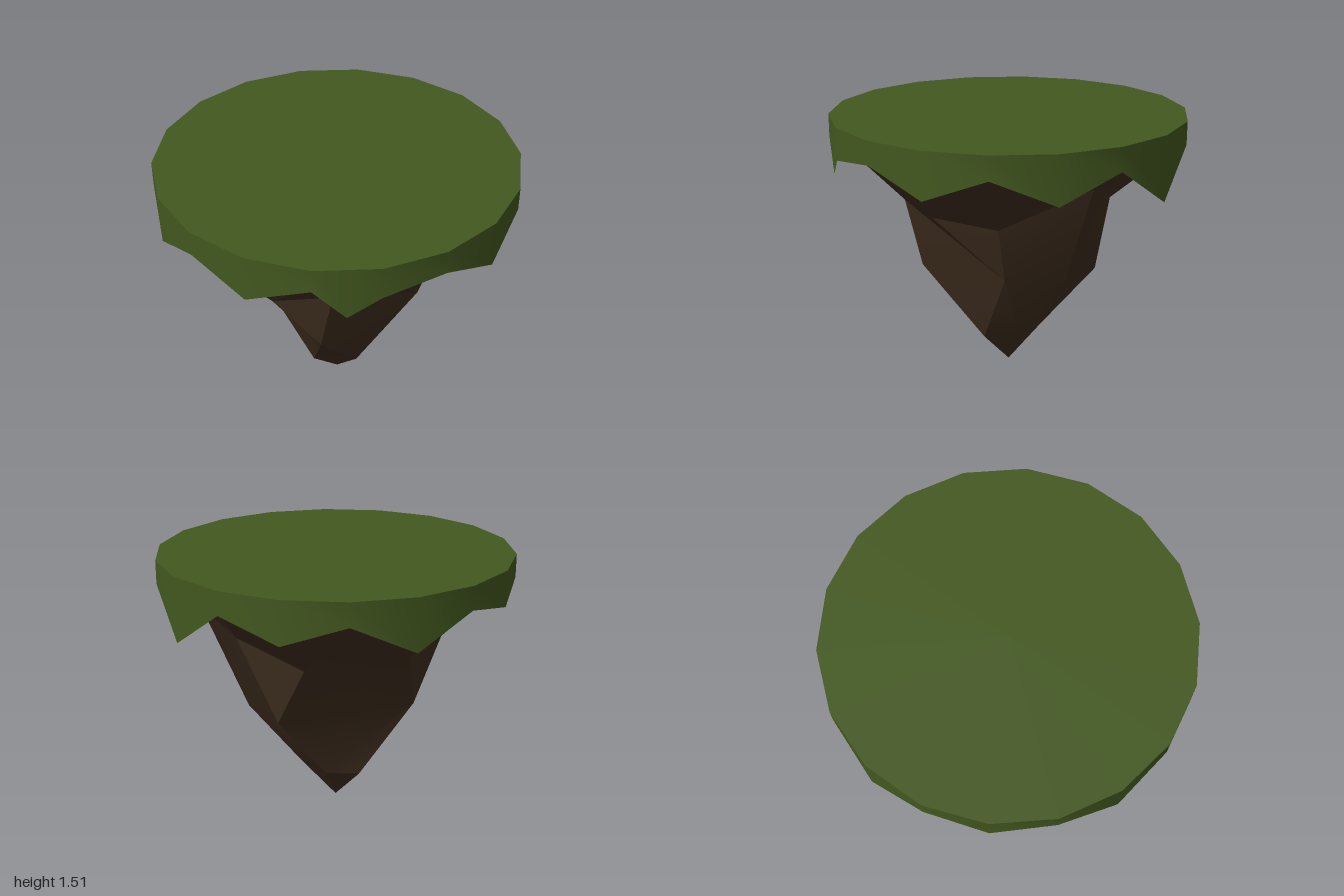
import * as THREE from 'three';
import { toCreasedNormals } from 'three/addons/utils/BufferGeometryUtils.js';

const TOP = 1.51, STEP = Math.PI / 9;
const angle = (p) => (Math.atan2(p[2], p[0]) + Math.PI * 2) % (Math.PI * 2);

// Joins two closed rings of points with triangles, advancing round by angle.
function zip(lower, upper, out) {
  const sort = (r) => [...r].sort((a, b) => angle(a) - angle(b));
  const lo = sort(lower), up = sort(upper);
  const turn = (r, i) => angle(r[i % r.length]) + Math.floor(i / r.length) * Math.PI * 2;
  let i = 0, j = 0;
  while (i < lo.length || j < up.length) {
    const a = lo[i % lo.length], b = up[j % up.length];
    const advanceLower = j >= up.length || (i < lo.length && turn(lo, i + 1) < turn(up, j + 1));
    if (advanceLower) out.push(...a, ...b, ...lo[++i % lo.length]);
    else out.push(...a, ...b, ...up[++j % up.length]);
  }
}

function makeRock() {
  // Cross-sections from the tip upwards, each point [x, y, z]
  const tip = [
    [0.16, 0.21, 0.12], [-0.03, 0.2, 0.2], [-0.19, 0.17, 0.001],
    [-0.03, 0.2, -0.2], [0.15, 0.22, -0.12],
  ];
  const waist = [
    [0.49, 0.63, 0.16], [0.26, 0.67, 0.4], [-0.4, 0.6, 0.3],
    [-0.28, 0.65, -0.38], [0.49, 0.63, -0.16],
  ];
  const shoulder = [
    [0.72, 1.23, 0.25], [0.29, 0.99, 0.5], [-0.1, 1.01, 0.57], [-0.42, 1.02, 0.42],
    [-0.58, 0.9, 0.11], [-0.5, 1.0, -0.34], [-0.1, 1.02, -0.57], [0.45, 0.99, -0.37],
    [0.66, 1.12, -0.02],
  ];
  // The rock meets the notches of the grass edge
  const rim = [];
  for (let k = 1; k < 18; k += 2) {
    rim.push([0.985 * Math.cos(k * STEP), 1.39, 0.985 * Math.sin(k * STEP)]);
  }
  const positions = [];
  tip.forEach((p, i) => positions.push(0, 0, 0, ...p, ...tip[(i + 1) % tip.length]));
  zip(tip, waist, positions);
  zip(waist, shoulder, positions);
  zip(shoulder, rim, positions);
  const geometry = new THREE.BufferGeometry();
  geometry.setAttribute('position', new THREE.Float32BufferAttribute(positions, 3));
  return toCreasedNormals(geometry, 0.4);
}

function makeGrassSkirt() {
  // Height of the ragged lower edge at each corner; one extra tuft at 6.5
  const heights = [1.15, 1.38, 1.24, 1.38, 1.25, 1.38, 1.33, 1.38, 1.25,
    1.37, 1.24, 1.38, 1.31, 1.38, 1.22, 1.38, 1.27, 1.38];
  const edge = heights.map((y, k) => [k, y, 1]);
  edge.splice(7, 0, [6.5, 1.21, Math.cos(STEP / 2)]);
  const positions = [], index = [], n = edge.length;
  edge.forEach(([k, y, r], i) => {
    const x = r * Math.cos(k * STEP), z = r * Math.sin(k * STEP);
    positions.push(x, TOP, z, x, y, z);
    const a = 2 * i, b = 2 * ((i + 1) % n);
    index.push(a, b, a + 1, b, b + 1, a + 1);
  });
  const geometry = new THREE.BufferGeometry();
  geometry.setAttribute('position', new THREE.Float32BufferAttribute(positions, 3));
  geometry.setIndex(index);
  geometry.computeVertexNormals();
  return geometry;
}

export function createModel() {
  const group = new THREE.Group();
  group.name = 'floatingIsland';
  const grass = new THREE.MeshStandardMaterial({ color: 0x43581f, side: THREE.DoubleSide });
  const earth = new THREE.MeshStandardMaterial({ color: 0x3f2e1f, side: THREE.DoubleSide });

  const add = (name, geometry, material) => {
    const mesh = new THREE.Mesh(geometry, material);
    mesh.name = name;
    group.add(mesh);
    return mesh;
  };

  // Flat grassy top
  const lawn = add('grassTop', new THREE.CircleGeometry(1, 18).rotateX(-Math.PI / 2), grass);
  lawn.position.y = TOP;
  // Ragged overhang of turf
  add('grassSkirt', makeGrassSkirt(), grass);
  // Faceted rock hanging below
  add('rock', makeRock(), earth);
  return group;
}
